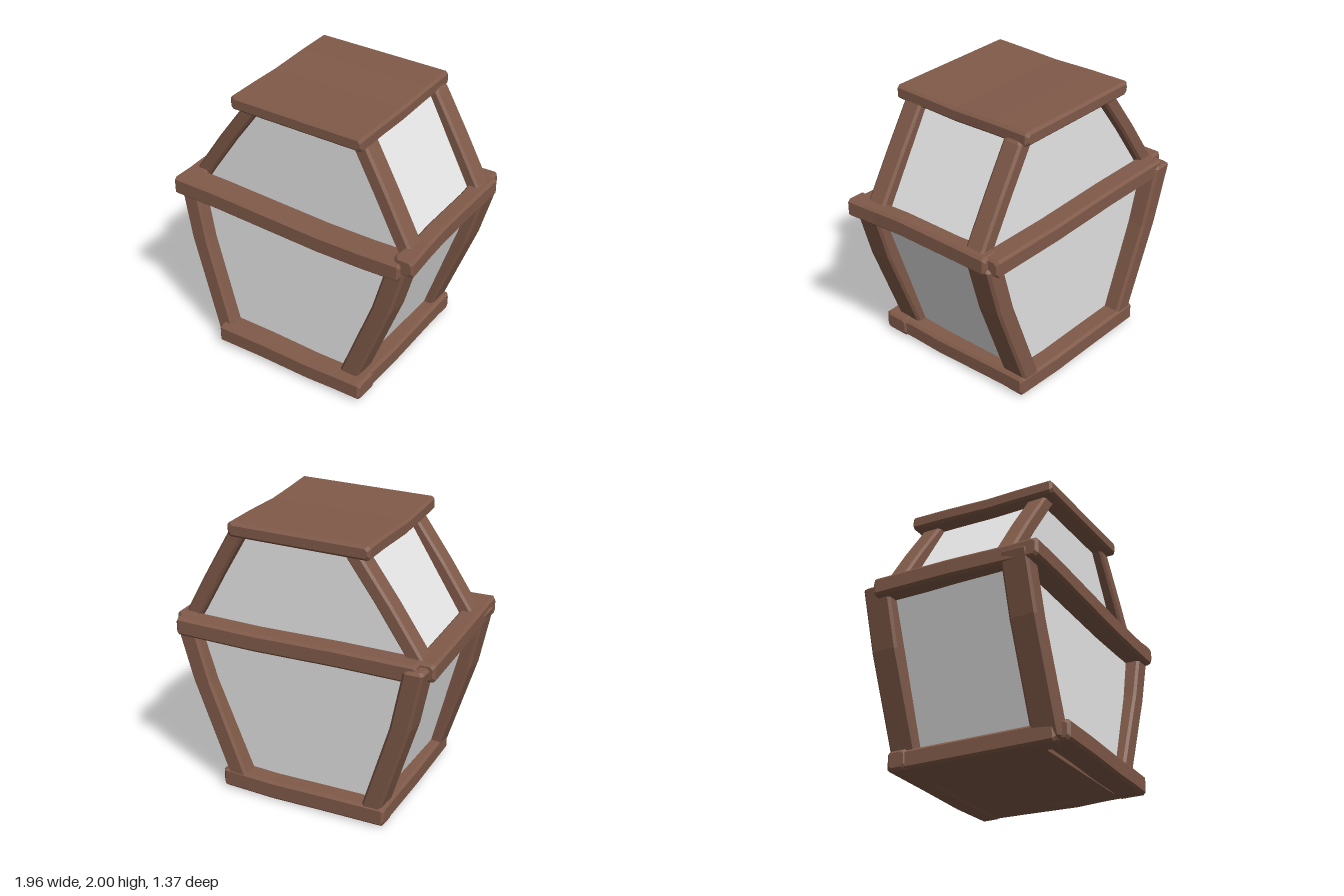
import * as THREE from 'three';

const wood = new THREE.MeshStandardMaterial({ color: 0x805a49 });
wood.name = 'brown wood';
const glass = new THREE.MeshStandardMaterial({ color: 0xe6e6e6 });
glass.name = 'pale glass';

// Chamfered bar swept along one axis. Points rise along that axis: [x, y, z, widthA?, widthB?].
// Section axes: x -> (y, z), y -> (z, x), z -> (x, y).
function bar(axis, points, wA, wB, bevel = 0.018) {
  const n = { x: 0, y: 1, z: 2 }[axis], a = (n + 1) % 3, b = (n + 2) % 3;
  const rings = [];
  const ring = (p, shift, inset) => {
    const ha = (p[3] ?? wA) / 2 - inset, hb = (p[4] ?? wB) / 2 - inset, c = bevel;
    const section = [[ha, -hb + c], [ha, hb - c], [ha - c, hb], [-ha + c, hb],
      [-ha, hb - c], [-ha, -hb + c], [-ha + c, -hb], [ha - c, -hb]];
    rings.push(section.map(([u, v]) => {
      const q = [p[0], p[1], p[2]];
      q[n] += shift; q[a] += u; q[b] += v;
      return q;
    }));
  };
  points.forEach((p, i) => {
    if (i === 0) { ring(p, 0, bevel); ring(p, bevel, 0); }
    else if (i === points.length - 1) { ring(p, -bevel, 0); ring(p, 0, bevel); }
    else ring(p, 0, 0);
  });
  const pos = [];
  const tri = (...v) => v.forEach((q) => pos.push(...q));
  for (let i = 0; i < rings.length - 1; i++) {
    for (let j = 0; j < 8; j++) {
      const k = (j + 1) % 8, r = rings[i], s = rings[i + 1];
      tri(r[j], r[k], s[j]);
      tri(r[k], s[k], s[j]);
    }
  }
  const first = rings[0], last = rings[rings.length - 1];
  for (let j = 1; j < 7; j++) {
    tri(first[0], first[j + 1], first[j]);
    tri(last[0], last[j], last[j + 1]);
  }
  const g = new THREE.BufferGeometry();
  g.setAttribute('position', new THREE.Float32BufferAttribute(pos, 3));
  g.computeVertexNormals();
  return g;
}

export function createModel() {
  const model = new THREE.Group();
  model.name = 'lantern';
  const add = (name, geometry, material = wood) => {
    const m = new THREE.Mesh(geometry, material);
    m.name = name;
    model.add(m);
  };

  // Glass body: flat panes, the lower part leaning slightly backward
  add('lowerGlass', bar('y', [
    [-0.04, 0.06, 0.015, 1.02, 1.0], [0, 1.19, -0.03, 1.02, 1.69]], 1, 1, 0.001), glass);
  add('upperGlass', bar('y', [
    [0, 1.17, -0.045, 0.89, 1.71], [0.045, 1.93, -0.04, 0.87, 0.82]], 1, 1, 0.001), glass);

  // Roof slab, gently sagging
  add('roof', bar('z', [
    [-0.005, 1.95, -0.59], [0, 1.947, -0.3], [0.005, 1.935, 0.02],
    [0.012, 1.942, 0.25], [0.025, 1.95, 0.53]], 1.035, 0.1));

  // Base plate and its four beams
  add('basePlate', new THREE.BoxGeometry(1.0, 0.09, 1.0).translate(-0.02, 0.062, -0.02));
  add('baseFrontBeam', bar('x', [
    [-0.575, 0.1, 0.58], [-0.2, 0.1, 0.575], [0.2, 0.088, 0.57], [0.4, 0.092, 0.565], [0.625, 0.09, 0.56]], 0.14, 0.2));
  add('baseBackBeam', bar('x', [
    [-0.66, 0.085, -0.55], [-0.2, 0.08, -0.55], [0.2, 0.072, -0.55], [0.59, 0.085, -0.55]], 0.14, 0.15));
  add('baseLeftBeam', bar('z', [
    [0.515, 0.09, -0.62], [0.52, 0.085, -0.3], [0.53, 0.075, 0.15], [0.535, 0.085, 0.35], [0.54, 0.09, 0.62]], 0.15, 0.135));
  add('baseRightBeam', bar('z', [
    [-0.58, 0.08, -0.61], [-0.57, 0.08, 0], [-0.55, 0.085, 0.6]], 0.15, 0.135));

  // Middle ring
  add('middleFrontBeam', bar('x', [
    [-0.93, 1.225, 0.555], [-0.6, 1.22, 0.552], [-0.2, 1.2, 0.548], [0.25, 1.178, 0.543],
    [0.6, 1.175, 0.537], [0.89, 1.18, 0.53]], 0.135, 0.195));
  add('middleBackBeam', bar('x', [
    [-0.88, 1.22, -0.58], [-0.3, 1.22, -0.585], [0.3, 1.21, -0.595], [0.89, 1.22, -0.605]], 0.13, 0.16));
  add('middleLeftBeam', bar('z', [
    [0.855, 1.225, -0.6, 0.15], [0.87, 1.225, -0.3], [0.885, 1.232, 0.15],
    [0.895, 1.225, 0.35], [0.905, 1.225, 0.6, 0.15]], 0.125, 0.13));
  add('middleRightBeam', bar('z', [
    [-0.905, 1.215, -0.575], [-0.885, 1.225, 0], [-0.85, 1.225, 0.63]], 0.15, 0.13));

  // Lower posts: bottom and top z for each corner
  const lowerLeft = [[0.455, 0.04], [0.485, 0.15], [0.735, 0.8], [0.845, 1.2]];
  const lowerRight = [[-0.535, 0.04], [-0.565, 0.15], [-0.775, 0.8], [-0.87, 1.25]];
  const lowerPost = (name, path, z0, z1) => add(name, bar('y',
    path.map(([x, y]) => [x, y, z0 + (z1 - z0) * y / 1.25]), 0.2, 0.145));
  lowerPost('lowerFrontLeftPost', lowerLeft, 0.49, 0.485);
  lowerPost('lowerFrontRightPost', lowerRight, 0.53, 0.48);
  lowerPost('lowerBackLeftPost', lowerLeft, -0.52, -0.53);
  lowerPost('lowerBackRightPost', lowerRight, -0.51, -0.58);

  // Upper posts leaning in to the roof
  const upperLeft = [[0.855, 1.22], [0.815, 1.3], [0.65, 1.6], [0.47, 1.93]];
  const upperRight = [[-0.85, 1.22], [-0.81, 1.3], [-0.605, 1.6], [-0.375, 1.93]];
  const upperPost = (name, path, z0, z1) => add(name, bar('y',
    path.map(([x, y]) => [x, y, z0 + (z1 - z0) * (y - 1.22) / 0.71]), 0.15, 0.125));
  upperPost('upperFrontLeftPost', upperLeft, 0.415, 0.39);
  upperPost('upperFrontRightPost', upperRight, 0.37, 0.385);
  upperPost('upperBackLeftPost', upperLeft, -0.475, -0.48);
  upperPost('upperBackRightPost', upperRight, -0.48, -0.475);

  return model;
}
